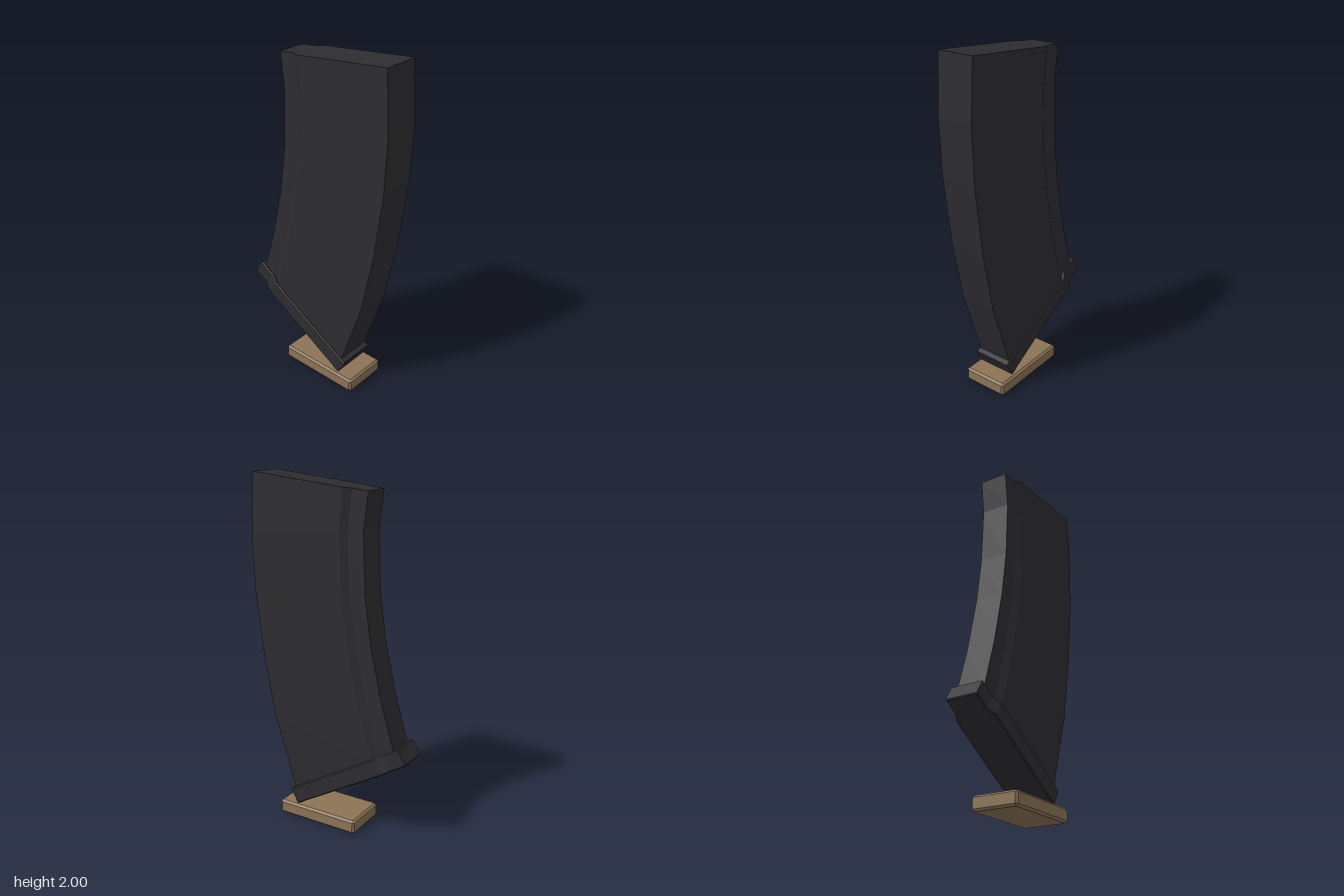
import * as THREE from 'three';

const dark = new THREE.MeshStandardMaterial({ color: 0x2d2d30, flatShading: true });
const tan = new THREE.MeshStandardMaterial({ color: 0x8b7355, flatShading: true });

// Half outline (x, along) mirrored across x = 0 into a closed loop
function mirrored(half) {
  return [...half, ...half.slice().reverse().map(([x, t]) => [-x, t])];
}

// Bevelled slab: outline in XY, thickness from z = 0 upwards
function slab(half, thickness, bevel) {
  const shape = new THREE.Shape(mirrored(half).map(([x, t]) => new THREE.Vector2(x, t)));
  const geo = new THREE.ExtrudeGeometry(shape, {
    depth: thickness - 2 * bevel, bevelEnabled: true, bevelThickness: bevel,
    bevelSize: bevel, bevelOffset: -bevel, bevelSegments: 1,
  });
  return geo.translate(0, 0, bevel);
}

// Curved body: stepped cross-section lofted between front and back edges
function bodyGeometry() {
  // [front z, front y, back z, back y] from top to bottom
  const rows = [
    [0.47, 2.0, -0.235, 1.93],
    [0.49, 1.67, -0.21, 1.73],
    [0.478, 1.35, -0.222, 1.40],
    [0.43, 0.97, -0.26, 1.13],
    [0.357, 0.6, -0.33, 0.82],
    [0.215, 0.165, -0.417, 0.53],
  ];
  // [half width, fraction from front to back]
  const section = mirrored([[0.107, 0], [0.107, 0.81], [0.083, 0.865], [0.083, 1]]);
  const n = section.length;
  const pos = [];
  const idx = [];
  for (const [fz, fy, bz, by] of rows) {
    for (const [x, t] of section) pos.push(x, fy + (by - fy) * t, fz + (bz - fz) * t);
  }
  for (let r = 0; r < rows.length - 1; r++) {
    for (let i = 0; i < n; i++) {
      const a = r * n + i, b = r * n + (i + 1) % n;
      idx.push(a, a + n, b + n, a, b + n, b);
    }
  }
  // End caps as strips across the width
  const last = (rows.length - 1) * n;
  for (let i = 0; i < n / 2 - 1; i++) {
    const a = i, b = i + 1, c = n - 2 - i, d = n - 1 - i;
    idx.push(a, b, c, a, c, d);
    idx.push(last + a, last + c, last + b, last + a, last + d, last + c);
  }
  const geo = new THREE.BufferGeometry();
  geo.setAttribute('position', new THREE.Float32BufferAttribute(pos, 3));
  geo.setIndex(idx);
  const flat = geo.toNonIndexed();
  flat.computeVertexNormals();
  return flat;
}

export function createModel() {
  const model = new THREE.Group();
  model.name = 'curvedMagazine';
  const add = (name, geo, mat) => {
    const mesh = new THREE.Mesh(geo, mat);
    mesh.name = name;
    model.add(mesh);
    return mesh;
  };

  add('body', bodyGeometry(), dark);

  // Tilted floor cap with the same stepped outline, slightly wider than the body
  const cap = add('floorCap',
    slab([[0.117, 0], [0.117, 0.65], [0.093, 0.695], [0.093, 0.8]], 0.1, 0.006), dark);
  cap.rotation.x = -1.04;
  cap.position.set(0, 0.08, 0.2);

  // Flat base plate with chamfered corners
  const w = 0.137, l = 0.256, c = 0.012;
  const base = add('basePlate',
    slab([[w - c, -l], [w, -l + c], [w, l - c], [w - c, l]], 0.082, 0.012), tan);
  base.rotation.x = -Math.PI / 2;
  base.position.z = 0.06;

  return model;
}
